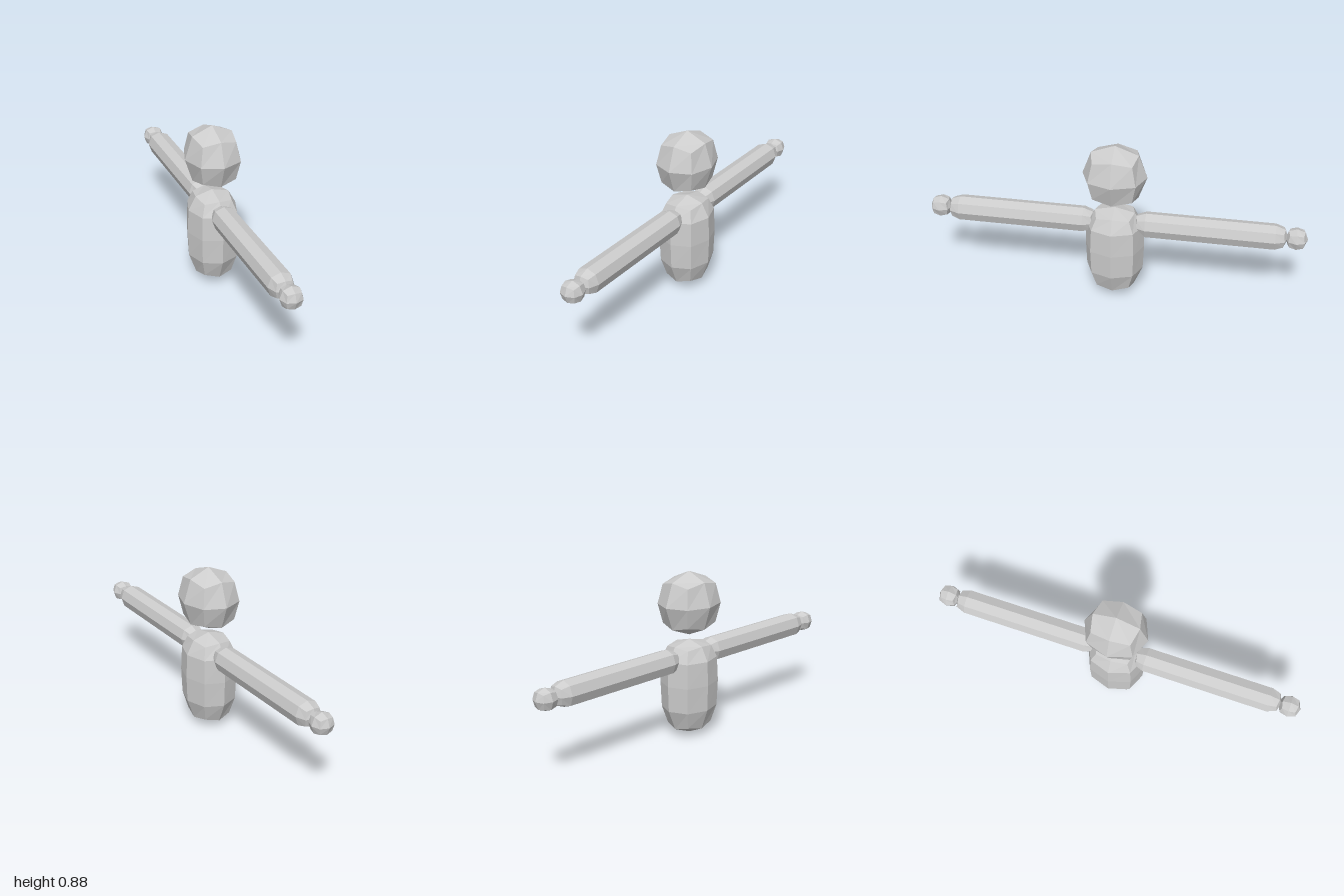
import * as THREE from 'three';

const clay = new THREE.MeshStandardMaterial({ color: 0xcccccc, flatShading: true });
clay.name = 'light grey clay';

// Rounded box: each end cap is { y: [centre, edge, corner], r: [edge, corner] },
// each ring between the caps is [y, edge, corner]; radii are fractions of rx and rz.
function puffedBox(rx, rz, bottom, rings, top) {
  const n = rings.length + 1;
  const geo = new THREE.BoxGeometry(2, n, 2, 2, n, 2);
  const pos = geo.attributes.position;
  for (let i = 0; i < pos.count; i++) {
    const sx = Math.round(pos.getX(i)), sz = Math.round(pos.getZ(i));
    const row = Math.round(pos.getY(i) + n / 2);
    const sides = Math.abs(sx) + Math.abs(sz);
    let y, r = 0;
    if (row === 0 || row === n) {
      const cap = row === 0 ? bottom : top;
      y = cap.y[sides];
      if (sides) r = cap.r[sides - 1];
    } else {
      const ring = rings[row - 1];
      y = ring[0];
      r = ring[sides];
    }
    pos.setXYZ(i, sx * r * rx, y, sz * r * rz);
  }
  geo.computeVertexNormals();
  return geo;
}

// Ball with three rows, used for the head and hands
function ball(rx, ry, rz) {
  const cap = (s) => ({ y: [s * ry, s * ry * 0.73, s * ry * 0.61], r: [0.73, 0.61] });
  return puffedBox(rx, rz, cap(-1), [[0, 1, 0.73]], cap(1));
}

function part(name, geo, parent) {
  const mesh = new THREE.Mesh(geo, clay);
  mesh.name = name;
  parent.add(mesh);
  return mesh;
}

export function createModel() {
  const model = new THREE.Group();
  model.name = 'figure';

  part('head', ball(0.148, 0.169, 0.168), model).position.y = 0.712;

  part('body', puffedBox(0.137, 0.157,
    { y: [0, 0.042, 0.06], r: [0.67, 0.55] },
    [[0.152, 0.965, 0.7], [0.29, 1, 0.73], [0.42, 0.965, 0.7]],
    { y: [0.519, 0.494, 0.483], r: [0.67, 0.55] }), model);

  // Arms stretch out to the front and back
  const armGeo = puffedBox(0.066, 0.066,
    { y: [0.1, 0.115, 0.122], r: [0.71, 0.58] },
    [[0.165, 1, 0.74], [0.835, 1, 0.74]],
    { y: [0.9, 0.885, 0.878], r: [0.71, 0.58] });
  const handGeo = ball(0.058, 0.058, 0.057);
  for (const side of [1, -1]) {
    const limb = new THREE.Group();
    limb.name = side > 0 ? 'frontLimb' : 'backLimb';
    part('arm', armGeo, limb);
    part('hand', handGeo, limb).position.y = 0.943;
    limb.position.y = 0.429;
    limb.rotation.x = side * Math.PI / 2;
    model.add(limb);
  }
  return model;
}
